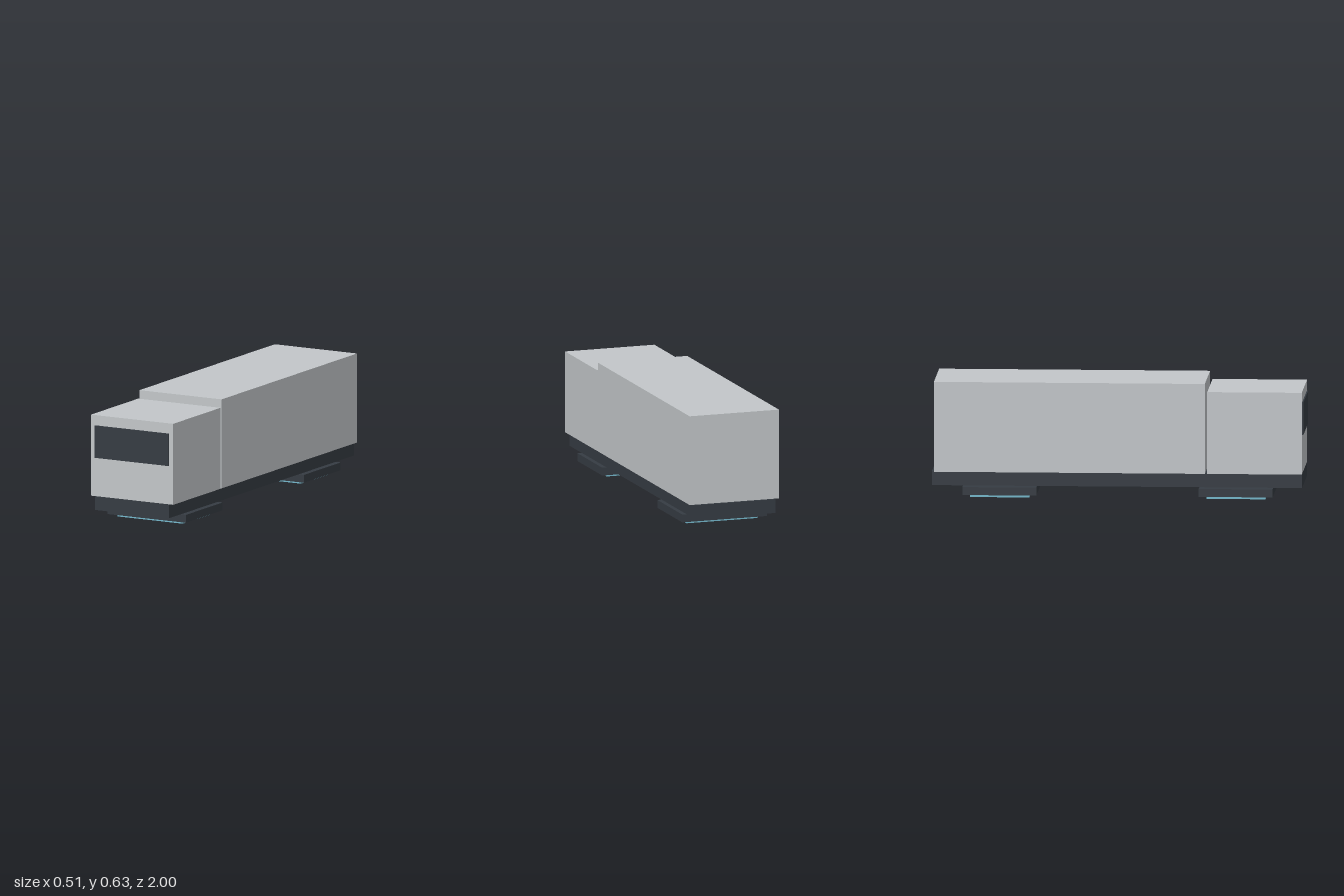
import * as THREE from 'three';

export function createModel() {
  const model = new THREE.Group();
  model.name = 'hoverTruck';

  const mat = (name, color) => {
    const m = new THREE.MeshStandardMaterial({ color });
    m.name = name;
    return m;
  };
  const panel = mat('light grey panel', 0xc3c7ca);
  const dark = mat('dark charcoal', 0x363c43);
  const glow = mat('hover blue', 0x74b8cc);

  // Box centred on x, given its half width and its y and z limits
  const addBox = (name, material, halfW, y0, y1, z0, z1) => {
    const mesh = new THREE.Mesh(new THREE.BoxGeometry(halfW * 2, y1 - y0, z1 - z0), material);
    mesh.position.set(0, (y0 + y1) / 2, (z0 + z1) / 2);
    mesh.name = name;
    model.add(mesh);
  };

  // Chassis and the two body boxes resting on it
  addBox('chassis', dark, 0.23, 0.067, 0.143, -1, 0.993);
  addBox('cargoBox', panel, 0.255, 0.143, 0.631, -0.988, 0.471);
  addBox('cab', panel, 0.255, 0.143, 0.587, 0.484, 0.993);

  // Windscreen plate on the cab front
  addBox('windscreen', dark, 0.23, 0.354, 0.531, 0.992, 1);

  // Front and rear hover pads with glowing undersides
  for (const [side, z] of [['front', 0.636], ['rear', -0.636]]) {
    addBox(side + 'HoverPad', dark, 0.242, 0.016, 0.059, z - 0.199, z + 0.199);
    addBox(side + 'HoverGlow', glow, 0.203, 0, 0.012, z - 0.159, z + 0.159);
  }

  return model;
}
